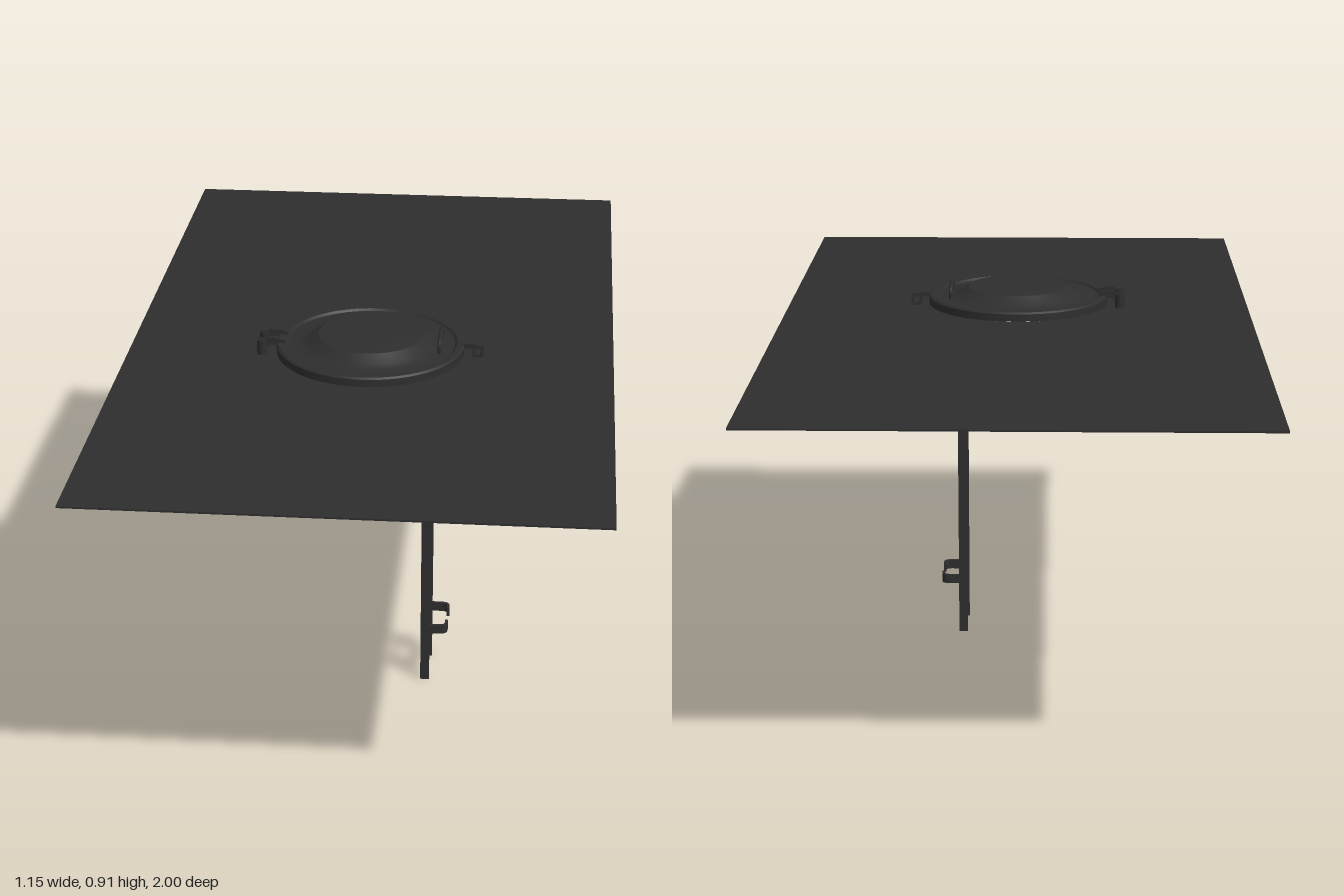
import * as THREE from 'three';
import { toCreasedNormals } from 'three/addons/utils/BufferGeometryUtils.js';

export function createModel() {
  const model = new THREE.Group();
  model.name = 'deckHatch';
  const steel = new THREE.MeshStandardMaterial({ color: 0x2e2e2e });
  steel.name = 'dark steel';

  const CZ = 0.14;      // centre line of hatch and ladder
  const DECK = 0.855;   // top of the deck plate

  function add(name, geometry, x = 0, y = 0, z = 0, parent = model) {
    const mesh = new THREE.Mesh(geometry, steel);
    mesh.name = name;
    mesh.position.set(x, y, z);
    parent.add(mesh);
    return mesh;
  }

  function roundedRect(path, w, h, r) {
    const x = w / 2, y = h / 2;
    path.moveTo(-x + r, -y);
    path.lineTo(x - r, -y).quadraticCurveTo(x, -y, x, -y + r);
    path.lineTo(x, y - r).quadraticCurveTo(x, y, x - r, y);
    path.lineTo(-x + r, y).quadraticCurveTo(-x, y, -x, y - r);
    path.lineTo(-x, -y + r).quadraticCurveTo(-x, -y, -x + r, -y);
    return path;
  }

  // Deck plate with the round hatch opening
  const plate = new THREE.Shape([
    new THREE.Vector2(-0.573, -1), new THREE.Vector2(0.573, -1),
    new THREE.Vector2(0.573, 1), new THREE.Vector2(-0.573, 1),
  ]);
  plate.holes.push(new THREE.Path().absarc(0, -CZ, 0.19, 0, Math.PI * 2, true));
  const deckGeometry = new THREE.ExtrudeGeometry(plate, { depth: 0.004, bevelEnabled: false, curveSegments: 48 });
  deckGeometry.rotateX(-Math.PI / 2);
  add('deckPlate', deckGeometry, 0, DECK - 0.004, 0);

  // Lid: hollow dome with a thick raised rim
  const profile = [
    [0, 0.899], [0.118, 0.897], [0.155, 0.872], [0.185, 0.869], [0.19, 0.863],
    [0.2225, 0.863], [0.2225, 0.881], [0.218, 0.885], [0.205, 0.885], [0.2, 0.88],
    [0.163, 0.88], [0.148, 0.887], [0.123, 0.904], [0.08, 0.906], [0, 0.907],
  ].map(([r, y]) => new THREE.Vector2(r, y));
  add('hatchLid', toCreasedNormals(new THREE.LatheGeometry(profile, 64), 0.5), 0, 0, CZ);

  // Grab loop passing through the lid
  const loop = roundedRect(new THREE.Path(), 0.1, 0.077, 0.016).getSpacedPoints(48).slice(0, -1)
    .map(p => new THREE.Vector3(0, p.y, p.x));
  add('grabHandle', new THREE.TubeGeometry(new THREE.CatmullRomCurve3(loop, true), 80, 0.005, 8, true),
    0.166, 0.869, CZ);

  // Pair of hinges
  for (const side of [-1, 1]) {
    const hinge = new THREE.Group();
    hinge.name = 'hinge';
    hinge.position.set(0, 0, CZ + side * 0.026);
    model.add(hinge);
    add('hingePost', new THREE.CylinderGeometry(0.0125, 0.0125, 0.036, 20), -0.255, DECK + 0.016, 0, hinge);
    const arm = new THREE.Shape();
    arm.moveTo(-0.267, 0.874).lineTo(-0.243, 0.874).lineTo(-0.236, 0.879).lineTo(-0.222, 0.879);
    arm.lineTo(-0.218, 0.883).lineTo(-0.2, 0.883).lineTo(-0.2, 0.892).lineTo(-0.22, 0.897);
    arm.lineTo(-0.24, 0.897).lineTo(-0.246, 0.892).lineTo(-0.262, 0.892).lineTo(-0.267, 0.887);
    add('hingeArm', new THREE.ExtrudeGeometry(arm, { depth: 0.01, bevelEnabled: false }), 0, 0, -0.005, hinge);
  }

  // Latch: eye block on the deck and a tongue on the lid
  const eye = roundedRect(new THREE.Shape(), 0.026, 0.031, 0.007);
  eye.holes.push(roundedRect(new THREE.Path(), 0.013, 0.015, 0.004));
  add('latchEye', new THREE.ExtrudeGeometry(eye, { depth: 0.016, bevelEnabled: false }), 0.254, 0.869, CZ - 0.008);
  add('latchTongue', new THREE.BoxGeometry(0.03, 0.012, 0.01), 0.231, 0.881, CZ);

  // Ladder: two flat rails, ten rungs, and wall brackets
  const ladder = new THREE.Group();
  ladder.name = 'ladder';
  ladder.position.set(0.14, 0, CZ + 0.003);
  model.add(ladder);
  for (const side of [-1, 1]) {
    add('ladderRail', new THREE.BoxGeometry(0.022, DECK - 0.004, 0.007), 0, (DECK - 0.004) / 2, side * 0.058, ladder);
  }
  for (let i = 0; i < 10; i++) {
    const rung = add('ladderRung', new THREE.CylinderGeometry(0.005, 0.005, 0.116, 10), 0, 0.047 + i * 0.0853, 0, ladder);
    rung.rotation.x = Math.PI / 2;
  }

  // Curved strap brackets, bending inward to the wall
  for (const y of [0.132, 0.7]) {
    for (const side of [-1, 1]) {
      const strap = new THREE.Shape();
      strap.moveTo(-0.005, side * 0.061).lineTo(0.034, side * 0.061);
      strap.quadraticCurveTo(0.055, side * 0.061, 0.055, side * 0.042);
      strap.lineTo(0.055, side * 0.03).lineTo(0.048, side * 0.03).lineTo(0.048, side * 0.042);
      strap.quadraticCurveTo(0.048, side * 0.054, 0.034, side * 0.054);
      strap.lineTo(-0.005, side * 0.054);
      const geometry = new THREE.ExtrudeGeometry(strap, { depth: 0.023, bevelEnabled: false, curveSegments: 8 });
      geometry.rotateX(-Math.PI / 2);
      add('wallBracket', geometry, 0, y, 0, ladder);
    }
  }

  return model;
}
